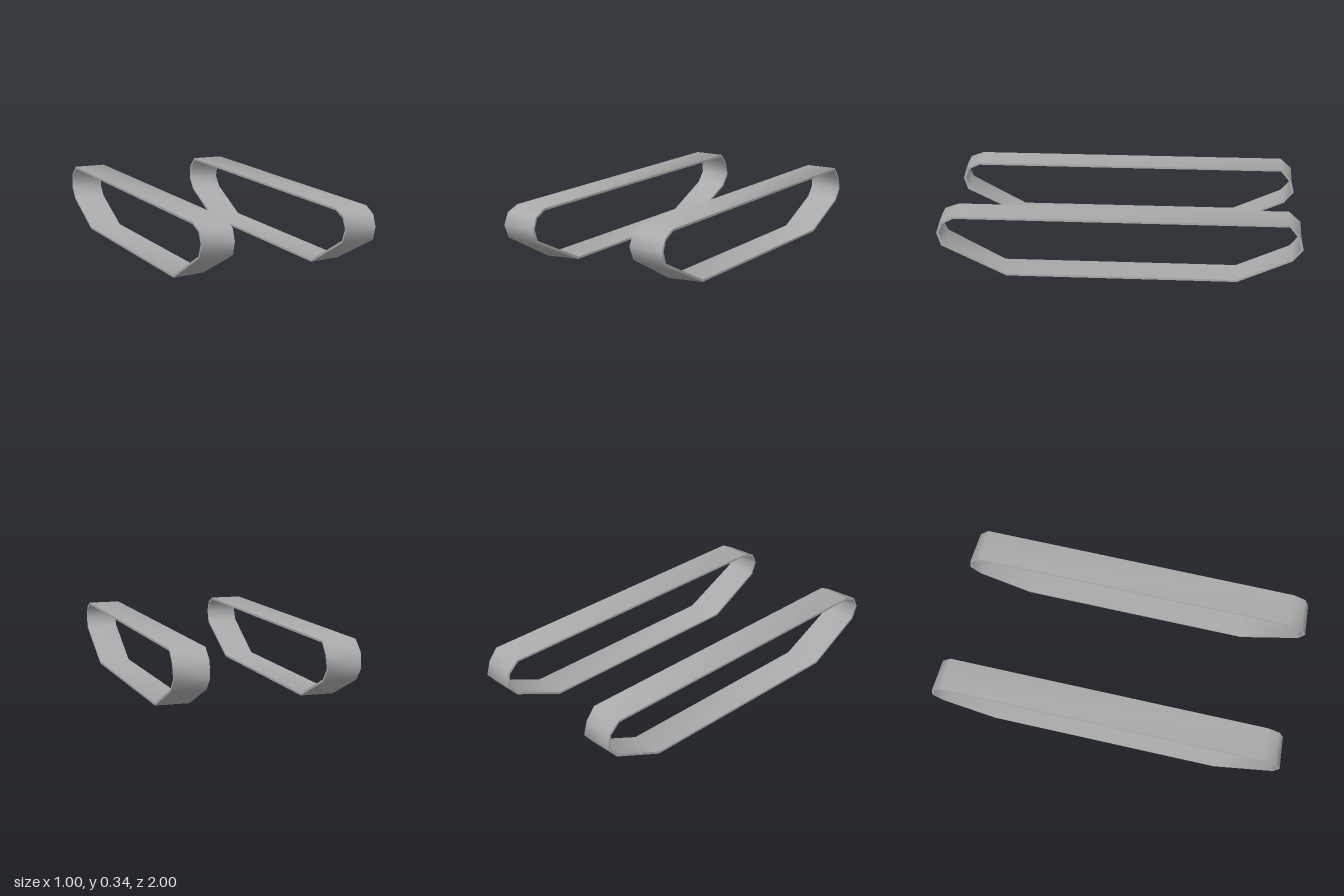
import * as THREE from 'three';
import { toCreasedNormals } from 'three/addons/utils/BufferGeometryUtils.js';

const WIDTH = 0.186, THICKNESS = 0.012, CENTRE_X = 0.407;

// Band outline as [z, y], running from the top front down and round the back.
// The edge on the model's left sits slightly inside at a few corners.
const rightEdge = [
  [0.89, 0.343], [0.968, 0.315], [1, 0.25], [0.968, 0.175], [0.645, 0],
  [-0.65, 0], [-0.945, 0.132], [-1, 0.2], [-0.99, 0.285], [-0.925, 0.343],
];
const leftEdge = [
  [0.89, 0.343], [0.96, 0.308], [0.985, 0.245], [0.963, 0.172], [0.61, 0],
  [-0.65, 0], [-0.945, 0.132], [-1, 0.2], [-0.978, 0.278], [-0.925, 0.343],
];

// Moves a closed clockwise outline inward by an even distance.
function inset(outline, distance) {
  const n = outline.length;
  const pts = outline.map(([z, y]) => new THREE.Vector2(z, y));
  return pts.map((p, i) => {
    const a = p.clone().sub(pts[(i + n - 1) % n]).normalize();
    const b = pts[(i + 1) % n].clone().sub(p).normalize();
    const scale = distance / (1 + a.dot(b));
    return [p.x + (a.y + b.y) * scale, p.y - (a.x + b.x) * scale];
  });
}

// Four-cornered cross-sections joined into a closed loop.
function bandGeometry() {
  const w = WIDTH / 2;
  const rails = [
    [-w, rightEdge], [w, leftEdge],
    [w, inset(leftEdge, THICKNESS)], [-w, inset(rightEdge, THICKNESS)],
  ];
  const positions = [], indices = [], n = rightEdge.length;
  for (let i = 0; i < n; i++) {
    const j = (i + 1) % n;
    rails.forEach(([x, rail], k) => {
      const m = (k + 1) % 4;
      positions.push(x, rail[i][1], rail[i][0]);
      const a = i * 4 + k, b = j * 4 + k, c = j * 4 + m, d = i * 4 + m;
      indices.push(a, b, c, a, c, d);
    });
  }
  const geometry = new THREE.BufferGeometry();
  geometry.setAttribute('position', new THREE.Float32BufferAttribute(positions, 3));
  geometry.setIndex(indices);
  return toCreasedNormals(geometry, Math.PI / 3);
}

export function createModel() {
  const model = new THREE.Group();
  model.name = 'trackPair';
  const grey = new THREE.MeshStandardMaterial({ color: 0xaaaaaa });
  grey.name = 'trackGrey';
  const geometry = bandGeometry();

  // Matching left and right track bands
  for (const [name, side] of [['leftTrack', 1], ['rightTrack', -1]]) {
    const track = new THREE.Mesh(geometry, grey);
    track.name = name;
    track.position.x = side * CENTRE_X;
    model.add(track);
  }
  return model;
}
